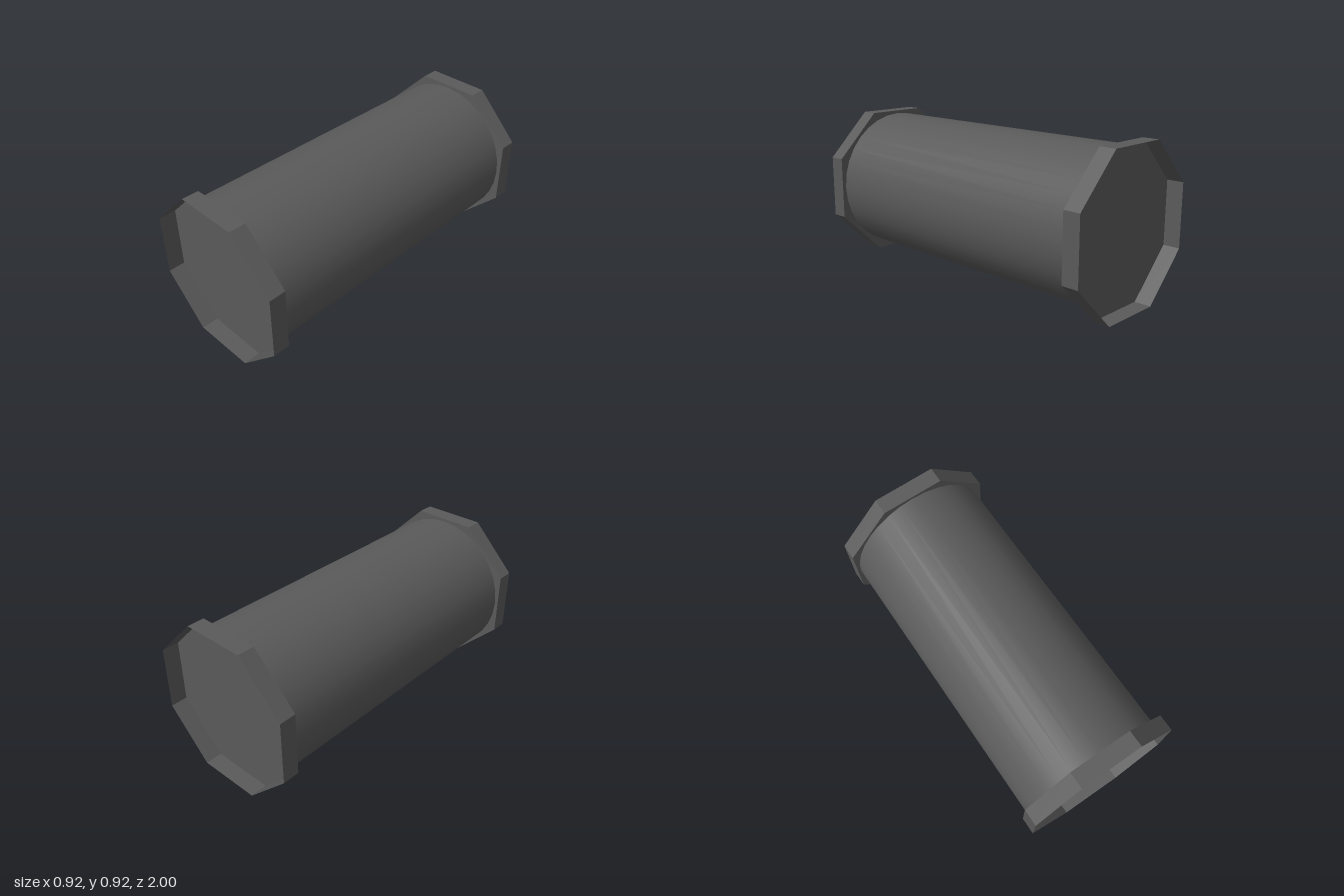
import * as THREE from 'three';

export function createModel() {
  const group = new THREE.Group();
  const grey = new THREE.MeshStandardMaterial({ color: 0x5a5a5a, side: THREE.DoubleSide });
  grey.name = 'darkGrey';

  const apothem = 0.4585;
  const corner = apothem / Math.cos(Math.PI / 8);
  const bandDepth = 0.1;

  const add = (geometry, name, x, y, z) => {
    const mesh = new THREE.Mesh(geometry, grey);
    mesh.name = name;
    mesh.position.set(x, y, z);
    group.add(mesh);
    return mesh;
  };

  // Smooth round barrel lying along z
  const barrel = new THREE.CylinderGeometry(0.4375, 0.4375, 1.8, 32, 1, true).rotateX(Math.PI / 2);
  add(barrel, 'barrel', -0.002, 0.4625, 0);

  // Thin octagonal collars, open outward, with a recessed end plate
  const band = new THREE.CylinderGeometry(corner, corner, bandDepth, 8, 1, true, Math.PI / 8)
    .rotateX(Math.PI / 2).toNonIndexed();
  band.computeVertexNormals();
  const plate = new THREE.CircleGeometry(corner, 8, Math.PI / 8);

  for (const [end, s] of [['front', 1], ['back', -1]]) {
    add(band, end + 'Collar', 0, apothem, s * (1 - bandDepth / 2));
    const endPlate = add(plate, end + 'EndPlate', 0, apothem, s * (1 - bandDepth));
    if (s < 0) endPlate.rotation.y = Math.PI;
  }
  return group;
}
